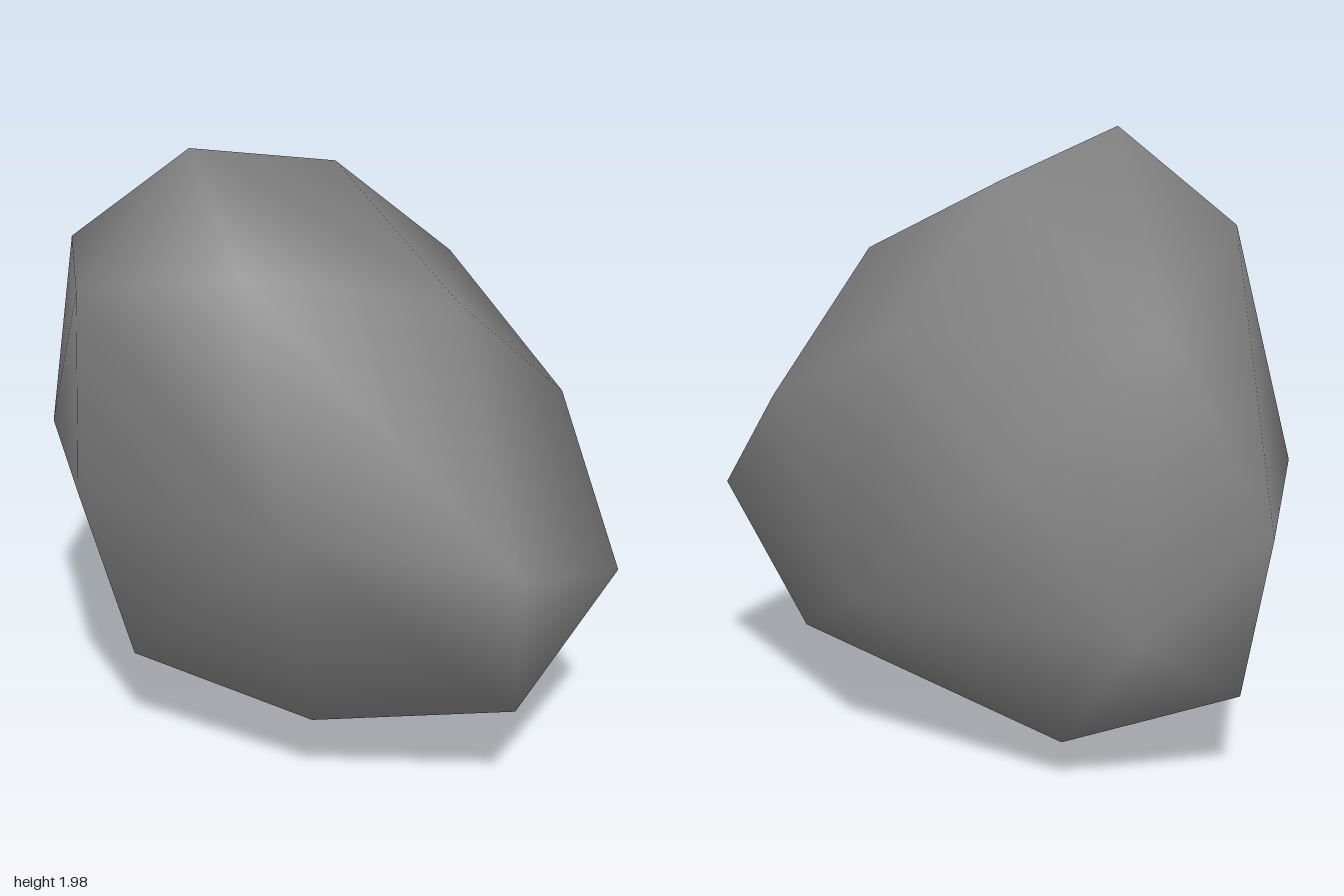
import * as THREE from 'three';
import { mergeVertices } from 'three/addons/utils/BufferGeometryUtils.js';
import { ConvexGeometry } from 'three/addons/geometries/ConvexGeometry.js';

// Corner points of the boulder, measured from its middle
const axisPoints = [
  [0.77, 0.11, 0.05], [-0.96, -0.11, -0.06], [0.01, 0.84, -0.07],
  [0, -1, 0.1], [-0.05, 0, 1], [0.05, 0.02, -0.82],
];
const cornerPoints = [
  [0.375, 0.41, -0.46], [0.44, 0.55, 0.45], [-0.48, 0.43, -0.55], [0.51, -0.475, -0.38],
  [-0.585, -0.635, 0.597], [-0.72, 0.61, 0.6], [-0.7, -0.72, -0.7], [0.65, -0.62, 0.88],
];
const ridgePoints = [
  [-0.41, 0.98, 0.3], [-0.34, -0.45, -1], [0.96, -0.3, 0.52],
  [-0.71, -0.81, 0], [0.015, -0.72, 0.82], [-0.73, -0.03, 0.67],
  [-0.19, 0.74, 0.77], [0.68, -0.77, 0.29], [-0.78, -0.19, -0.78],
  [-0.81, 0.65, 0.2], [-0.14, -0.87, -0.67], [0.66, -0.14, 0.94],
];

export function createModel() {
  const group = new THREE.Group();
  group.name = 'boulder';
  const stoneGrey = new THREE.MeshStandardMaterial({ color: 0x808080 });
  stoneGrey.name = 'stone grey';

  // Convex stone through all the points, with shared corners for smooth normals
  const points = [...axisPoints, ...cornerPoints, ...ridgePoints]
    .map(([x, y, z]) => new THREE.Vector3(x, y + 1, z));
  const hull = new ConvexGeometry(points);
  hull.deleteAttribute('normal');
  const geometry = mergeVertices(hull, 1e-4);
  geometry.computeVertexNormals();

  const stone = new THREE.Mesh(geometry, stoneGrey);
  stone.name = 'stone';
  group.add(stone);
  return group;
}
